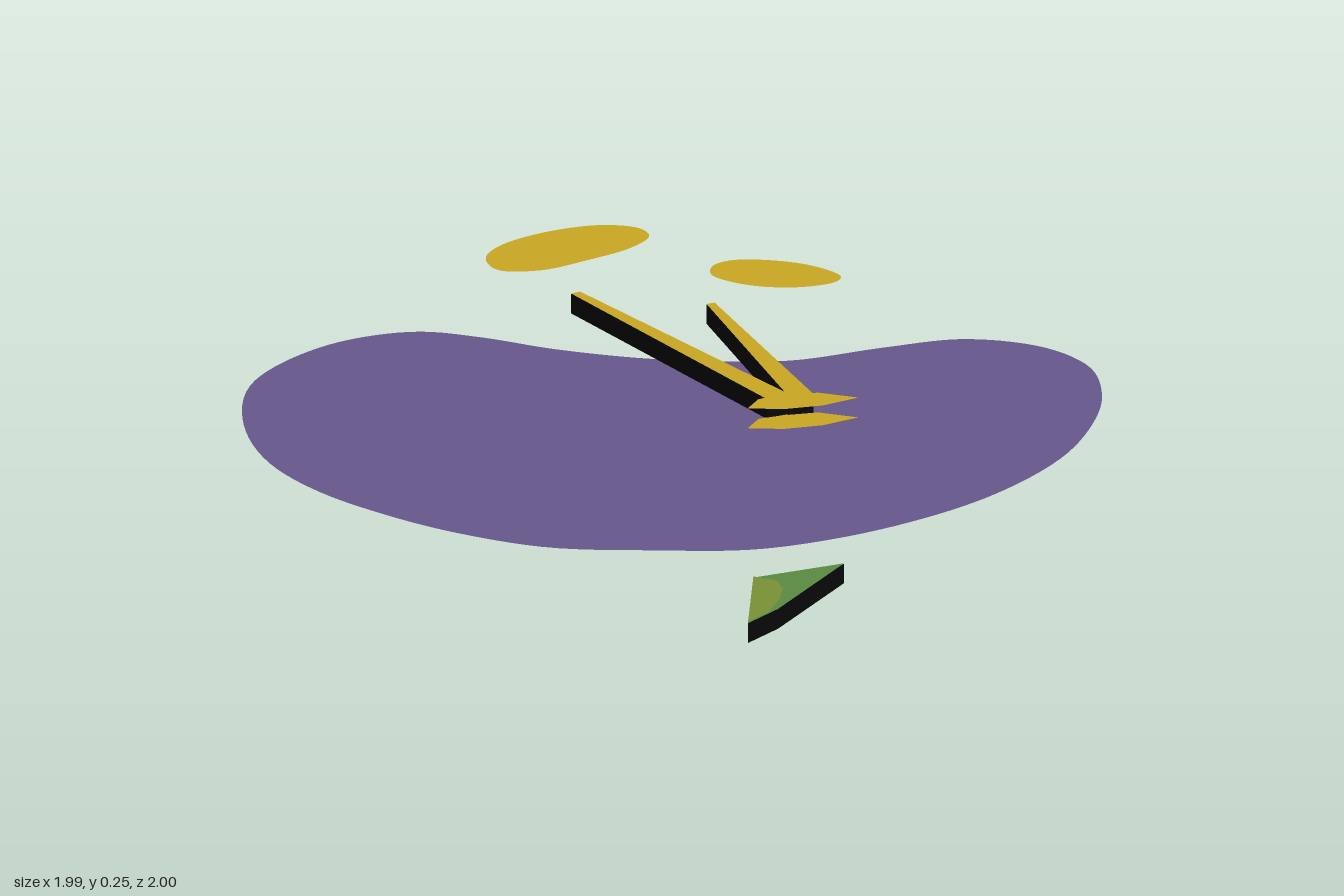
import * as THREE from 'three';

const material = (name, color) => {
  const m = new THREE.MeshStandardMaterial({ color, side: THREE.DoubleSide });
  m.name = name;
  return m;
};

// Outlines are [x, z] pairs on the ground plane
const straight = (pts) => new THREE.Shape(pts.map(([x, z]) => new THREE.Vector2(x, -z)));
const smooth = (pts, divisions = 96) => {
  const curve = new THREE.CatmullRomCurve3(pts.map(([x, z]) => new THREE.Vector3(x, -z, 0)), true);
  return new THREE.Shape(curve.getPoints(divisions).slice(0, -1).map((p) => new THREE.Vector2(p.x, p.y)));
};

export function createModel() {
  const purple = material('petal purple', 0x67588c);
  const gold = material('stamen gold', 0xcca824);
  const green = material('leaf green', 0x5b8c42);
  const olive = material('leaf olive', 0x7c9236);
  const black = material('edge black', 0x080808);
  const group = new THREE.Group();

  const add = (name, geometry, mat, y) => {
    geometry.rotateX(-Math.PI / 2);
    const mesh = new THREE.Mesh(geometry, mat);
    mesh.name = name;
    mesh.position.y = y;
    group.add(mesh);
  };
  const sheet = (name, shape, mat, y) => add(name, new THREE.ShapeGeometry(shape), mat, y);
  const slab = (name, shape, y) =>
    add(name, new THREE.ExtrudeGeometry(shape, { depth: 0.05, bevelEnabled: false }), black, y);

  // Petal: one large flat sheet
  sheet('petal', smooth([
    [-0.2, -1], [0, -0.97], [0.15, -0.87], [0.21, -0.72], [0.25, -0.52], [0.33, -0.3], [0.43, -0.13],
    [0.54, 0], [0.75, 0.12], [0.92, 0.24], [0.99, 0.42], [0.95, 0.6], [0.8, 0.76], [0.6, 0.88],
    [0.35, 0.97], [0.05, 1], [-0.2, 0.97], [-0.45, 0.89], [-0.65, 0.77], [-0.8, 0.58], [-0.94, 0.36],
    [-0.99, 0.12], [-0.99, -0.1], [-0.95, -0.35], [-0.85, -0.58], [-0.66, -0.8], [-0.42, -0.96],
  ], 160), purple, 0.124);

  // Leaf: dark slab with a two-tone top
  const leaf = [[-0.93, 0.97], [-0.65, 0.775], [-0.43, 0.89], [-0.8, 0.965]];
  slab('leafEdge', straight(leaf), 0);
  sheet('leafTop', straight(leaf), green, 0.052);
  sheet('leafHighlight', straight([
    [-0.93, 0.97], [-0.65, 0.775], [-0.64, 0.84], [-0.68, 0.89], [-0.75, 0.93], [-0.84, 0.965],
  ]), olive, 0.055);

  // Filaments: [root A, root B, tip B, tip A] and the share lying over the petal
  const filaments = [
    { pts: [[0.15, 0.21], [0.21, 0.24], [0.51, -0.64], [0.485, -0.65]], over: 0.56 },
    { pts: [[0.2, 0.24], [0.25, 0.28], [0.645, -0.325], [0.625, -0.335]], over: 0.56 },
  ];
  for (const { pts, over } of filaments) {
    const [a, b, c, d] = pts;
    const mix = (p, q) => [p[0] + (q[0] - p[0]) * over, p[1] + (q[1] - p[1]) * over];
    slab('filamentEdge', straight(pts), 0.125);
    sheet('filamentTop', straight(pts), gold, 0.177);
    sheet('filamentUnderside', straight([a, b, mix(b, c), mix(a, d)]), gold, 0.121);
  }

  // Filament root: a thin lens on both levels
  const root = [[0.06, 0.22], [0.13, 0.2], [0.2, 0.22], [0.26, 0.29], [0.29, 0.39], [0.19, 0.355], [0.11, 0.295]];
  for (const y of [0.121, 0.127, 0.179]) sheet('filamentRoot', straight(root), gold, y);

  // Anthers: flat ovals floating above the tips
  sheet('largeAnther', smooth([
    [0.35, -0.77], [0.4, -0.85], [0.5, -0.88], [0.65, -0.85], [0.77, -0.775], [0.81, -0.69],
    [0.78, -0.63], [0.68, -0.612], [0.55, -0.64], [0.41, -0.69],
  ]), gold, 0.25);
  sheet('smallAnther', smooth([
    [0.64, -0.33], [0.7, -0.37], [0.76, -0.355], [0.82, -0.27], [0.845, -0.17], [0.825, -0.07],
    [0.78, -0.055], [0.7, -0.1], [0.645, -0.18], [0.628, -0.26],
  ]), gold, 0.25);

  return group;
}
